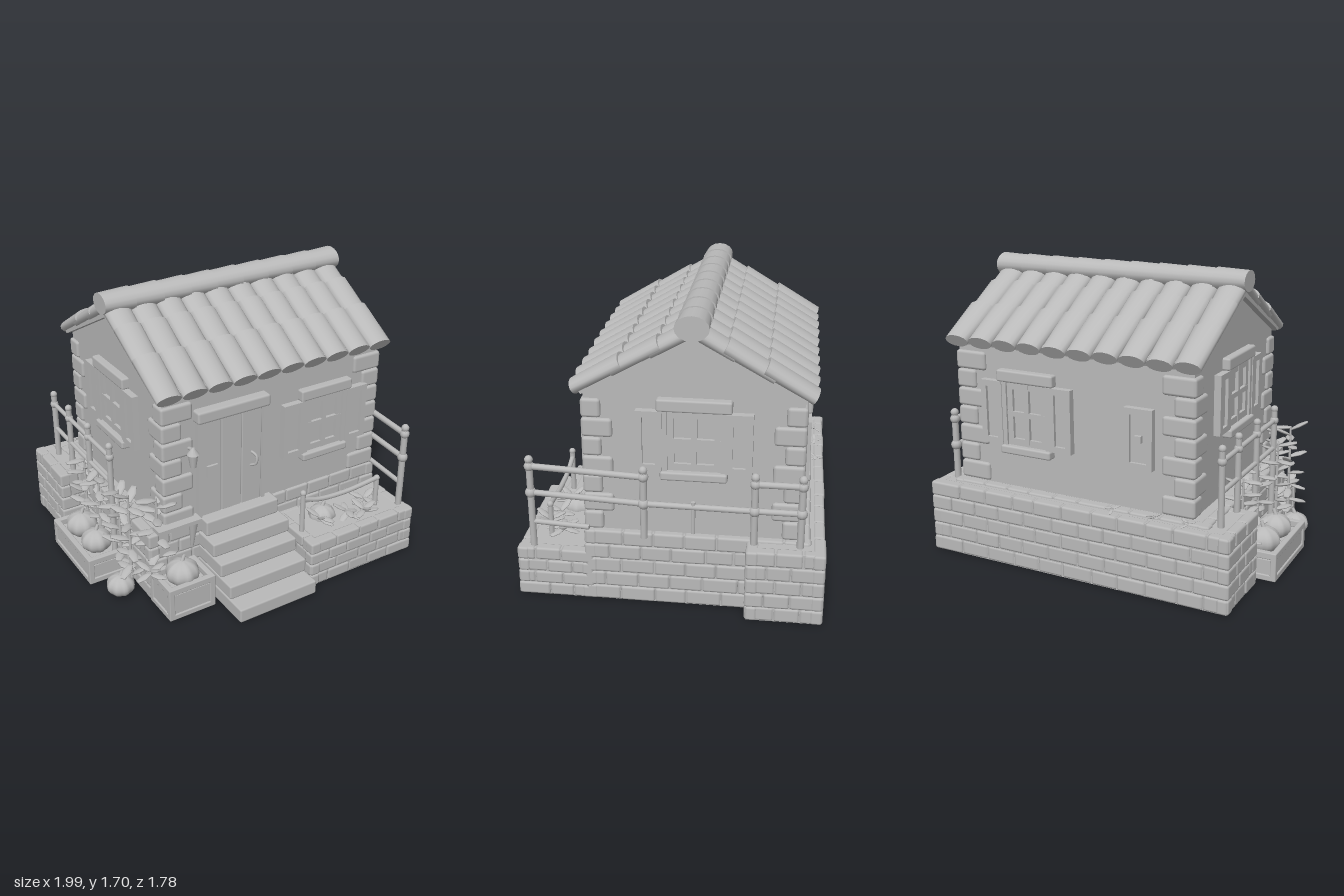
import * as THREE from 'three';
import { RoundedBoxGeometry } from 'three/addons/geometries/RoundedBoxGeometry.js';

export function createModel() {
  const root = new THREE.Group();
  root.name = 'cottage';
  const clay = new THREE.MeshStandardMaterial({ color: 0xb9b9b9 });
  clay.name = 'clay grey';

  let seed = 7;
  const rnd = () => (seed = (seed * 16807) % 2147483647) / 2147483647;
  const V = (x, y, z) => new THREE.Vector3(x, y, z);

  const group = (name, parent = root) => {
    const g = new THREE.Group();
    g.name = name;
    parent.add(g);
    return g;
  };
  const add = (parent, name, geo) => {
    const m = new THREE.Mesh(geo, clay);
    m.name = name;
    parent.add(m);
    return m;
  };
  // Box between two corners, softened when r > 0
  const box = (parent, name, x0, x1, y0, y1, z0, z1, r = 0) => {
    const s = [x1 - x0, y1 - y0, z1 - z0];
    const m = add(parent, name, r ? new RoundedBoxGeometry(...s, 1, Math.min(r, ...s.map(v => v * 0.45))) : new THREE.BoxGeometry(...s));
    m.position.set((x0 + x1) / 2, (y0 + y1) / 2, (z0 + z1) / 2);
    return m;
  };
  const rod = (parent, name, a, b, r, r2 = r) => {
    const d = b.clone().sub(a);
    const m = add(parent, name, new THREE.CylinderGeometry(r2, r, d.length(), 10));
    m.position.copy(a).add(b).multiplyScalar(0.5);
    m.quaternion.setFromUnitVectors(V(0, 1, 0), d.normalize());
    return m;
  };
  const ball = (parent, name, p, r) => {
    const m = add(parent, name, new THREE.SphereGeometry(r, 10, 8));
    m.position.copy(p);
    return m;
  };

  // Stone plinth: a core faced with staggered rounded blocks on all four sides
  const plinth = (name, x0, x1, z0, z1, h, rows) => {
    const g = group(name);
    const t = 0.012;
    box(g, 'core', x0 + t, x1 - t, 0, h - 0.004, z0 + t, z1 - t);
    const rh = h / rows;
    const course = (a0, a1, row, put) => {
      const n = Math.max(1, Math.round((a1 - a0) / 0.17));
      const w = (a1 - a0) / n;
      let a = a0;
      for (let i = 0; i < n; i++) {
        const b = i === n - 1 ? a1 : a0 + w * (i + 1 + (row % 2 ? 0.28 : -0.2) + (rnd() - 0.5) * 0.2);
        put(a, b, row * rh, (row + 1) * rh, rnd() * 0.008);
        a = b;
      }
    };
    for (let row = 0; row < rows; row++) {
      course(x0, x1, row, (a, b, y0, y1, j) => box(g, 'stone', a, b, y0, y1, z1 - 0.07, z1 - j, 0.014));
      course(x0, x1, row, (a, b, y0, y1, j) => box(g, 'stone', a, b, y0, y1, z0 + j, z0 + 0.07, 0.014));
      course(z0, z1, row, (a, b, y0, y1, j) => box(g, 'stone', x1 - 0.07, x1 - j, y0, y1, a, b, 0.014));
      course(z0, z1, row, (a, b, y0, y1, j) => box(g, 'stone', x0 + j, x0 + 0.07, y0, y1, a, b, 0.014));
    }
  };
  plinth('mainBase', -0.76, 0.88, -0.8, 0.45, 0.44, 5);
  plinth('backBase', -0.91, 0.99, -0.88, -0.45, 0.43, 5);
  plinth('frontTerrace', 0.1, 0.88, 0.4, 0.84, 0.3, 4);

  // Front steps
  const steps = group('steps');
  [0.9, 0.79, 0.69, 0.61, 0.52].forEach((z, i) =>
    box(steps, 'step', -0.43 + (i > 3 ? 0.01 : 0), 0.1 - (i > 3 ? 0.02 : 0), i * 0.09, (i + 1) * 0.09 + (i > 3 ? 0.01 : 0), 0.4, z, 0.012));

  // Walls with gables
  const X0 = -0.64, X1 = 0.84, Z0 = -0.73, Z1 = 0.43, RZ = -0.15;
  const gable = new THREE.Shape([[-Z1, 0.3], [-Z0, 0.3], [-Z0, 1.25], [-RZ, 1.55], [-Z1, 1.25]].map(p => new THREE.Vector2(...p)));
  const walls = add(root, 'walls', new THREE.ExtrudeGeometry(gable, { depth: X1 - X0, bevelEnabled: false }));
  walls.rotation.y = Math.PI / 2;
  walls.position.x = X0;

  // Corner quoins, alternating long and short
  const quoins = group('quoins');
  for (const sx of [-1, 1]) for (const sz of [-1, 1]) for (let i = 0; i < 7; i++) {
    const lx = i % 2 ? 0.13 : 0.2, lz = i % 2 ? 0.17 : 0.11;
    const x = sx < 0 ? X0 - 0.018 : X1 + 0.018, z = sz < 0 ? Z0 - 0.018 : Z1 + 0.018;
    const y = 0.44 + i * 0.111;
    box(quoins, 'quoin', Math.min(x, x - sx * lx), Math.max(x, x - sx * lx), y, y + 0.109,
      Math.min(z, z - sz * lz), Math.max(z, z - sz * lz), 0.018);
  }

  // Roof: decks, three courses of barrel tiles per slope, ridge caps
  const roof = group('roof');
  const RX0 = -0.7, RX1 = 0.9, cols = 10, cw = (RX1 - RX0) / cols, slope = 0.475;
  for (const s of [1, -1]) {
    const side = group(s > 0 ? 'frontSlope' : 'backSlope', roof);
    side.position.set(0, 1.6, RZ);
    side.rotation.y = s > 0 ? 0 : Math.PI;
    const pitch = group('pitch', side);
    pitch.rotation.x = slope;
    const off = s > 0 ? 0 : -(RX0 + RX1);
    box(pitch, 'deck', RX0 + off + 0.02, RX1 + off - 0.02, -0.045, 0.0, 0, 0.68);
    for (let row = 0; row < 3; row++) for (let c = 0; c < cols; c++) {
      const geo = new THREE.CylinderGeometry(cw * 0.46, cw * 0.535, 0.3, 14);
      geo.rotateX(Math.PI / 2).scale(1, 0.55, 1).rotateY(Math.PI);
      geo.rotateY(Math.PI);
      const tile = add(pitch, 'roofTile', geo);
      tile.position.set(RX0 + off + (c + 0.5) * cw, 0.006 + (rnd() - 0.5) * 0.006, 0.1 + row * 0.23);
      tile.rotation.x = 0.05;
      // widen the lower end of each tile
      tile.scale.z = 1;
      const p = geo.attributes.position;
      for (let i = 0; i < p.count; i++) {
        const k = p.getZ(i) > 0 ? 1.04 : 0.98;
        p.setX(i, p.getX(i) * k);
        p.setY(i, p.getY(i) * k);
      }
      geo.computeVertexNormals();
    }
  }
  for (let i = 0; i < 9; i++) {
    const w = (RX1 - RX0) / 9;
    const geo = new THREE.CylinderGeometry(0.082, 0.091, w + 0.012, 16);
    geo.rotateZ(Math.PI / 2).scale(1, 0.74, 1);
    add(roof, 'ridgeCap', geo).position.set(RX0 + (i + 0.5) * w, 1.635, RZ);
  }

  // Window facing +z, centred on its own origin
  const shutter = (g, x0, x1, h) => {
    box(g, 'shutter', x0, x1, -h, h, -0.01, 0.022);
    const b = 0.035;
    box(g, 'shutterStile', x0, x0 + b, -h, h, 0.02, 0.04);
    box(g, 'shutterStile', x1 - b, x1, -h, h, 0.02, 0.04);
    box(g, 'shutterRail', x0 + b, x1 - b, h - b, h, 0.02, 0.04);
    box(g, 'shutterRail', x0 + b, x1 - b, -h, b - h, 0.02, 0.04);
  };
  const makeWindow = (name, x, y, z, turn, w, h, sw) => {
    const g = group(name);
    g.position.set(x, y, z);
    g.rotation.y = turn;
    box(g, 'glass', -w, w, -h, h, -0.02, 0.004);
    for (const s of [-1, 1]) {
      box(g, 'frameSide', s * w - 0.018, s * w + 0.018, -h, h, -0.01, 0.035);
      box(g, 'sashSide', s * (w - 0.035) - 0.018, s * (w - 0.035) + 0.018, -h, h, -0.01, 0.022);
      box(g, 'sashRail', -w, w, s * (h - 0.02) - 0.02, s * (h - 0.02) + 0.02, -0.01, 0.022);
      shutter(g, s < 0 ? -w - sw - 0.01 : w + 0.01, s < 0 ? -w - 0.01 : w + sw + 0.01, h);
    }
    box(g, 'mullion', -0.015, 0.015, -h, h, -0.01, 0.024);
    box(g, 'crossbar', -w, w, -0.015, 0.015, -0.01, 0.024);
    box(g, 'lintel', -w - 0.04, w + 0.04, h, h + 0.07, -0.02, 0.045, 0.012);
    box(g, 'sill', -w - 0.02, w + 0.02, -h - 0.05, -h, -0.02, 0.055, 0.012);
  };
  makeWindow('frontWindow', 0.445, 0.855, Z1, 0, 0.145, 0.175, 0.15);
  makeWindow('rightWindow', X1, 1.0, -0.16, Math.PI / 2, 0.16, 0.17, 0.14);
  makeWindow('leftWindow', X0, 1.0, -0.16, -Math.PI / 2, 0.16, 0.17, 0.14);
  makeWindow('backWindow', 0.38, 0.88, Z0, Math.PI, 0.145, 0.185, 0.14);

  // Small shuttered hatch in the back wall
  const hatch = group('backHatch');
  hatch.position.set(-0.33, 0.85, Z0);
  hatch.rotation.y = Math.PI;
  shutter(hatch, -0.085, 0.085, 0.17);
  box(hatch, 'hatchLatch', -0.02, 0.02, -0.02, 0.02, 0.02, 0.045);

  // Plank door, lintel and ironwork
  const door = group('door');
  for (let i = 0; i < 3; i++) box(door, 'plank', -0.41 + i * 0.137, -0.276 + i * 0.137, 0.455, 1.07, 0.41, 0.445, 0.006);
  box(door, 'doorJamb', -0.435, -0.41, 0.455, 1.08, 0.41, 0.455);
  box(door, 'doorJamb', 0, 0.02, 0.455, 1.08, 0.41, 0.455);
  box(door, 'doorLintel', -0.45, 0.03, 1.08, 1.155, 0.4, 0.49, 0.015);
  box(door, 'lockPlate', -0.375, -0.305, 0.715, 0.785, 0.44, 0.46);
  add(door, 'handle', new THREE.TubeGeometry(new THREE.CatmullRomCurve3(
    [V(-0.075, 0.7, 0.44), V(-0.06, 0.72, 0.475), V(-0.055, 0.77, 0.475), V(-0.07, 0.79, 0.44)]), 10, 0.009, 6));

  // Wall lantern beside the door
  const lamp = group('lantern');
  rod(lamp, 'bracket', V(-0.49, 0.93, 0.42), V(-0.49, 0.95, 0.5), 0.01);
  rod(lamp, 'lampBody', V(-0.49, 0.84, 0.495), V(-0.49, 0.92, 0.495), 0.018, 0.03);
  rod(lamp, 'lampCap', V(-0.49, 0.92, 0.495), V(-0.49, 0.96, 0.495), 0.036, 0.008);

  // Railings: capped posts, rails with knuckles
  const post = (g, x, y0, y1, z, r = 0.018) => {
    rod(g, 'post', V(x, y0, z), V(x, y1, z), r);
    ball(g, 'postCap', V(x, y1, z), r * 1.2);
  };
  const rightRail = group('rightRailing');
  const railX = [[0.83, 0.75], [0.885, 0.11], [0.895, -0.49], [0.895, -0.74]];
  railX.forEach(([x, z], i) => {
    post(rightRail, x, i ? 0.42 : 0.28, 0.83, z, 0.02);
    ball(rightRail, 'knuckle', V(x, 0.63, z), 0.032);
    ball(rightRail, 'knuckle', V(x, 0.79, z), 0.029);
    if (!i) return;
    const [px, pz] = railX[i - 1];
    rod(rightRail, 'midRail', V(px, 0.63, pz), V(x, 0.63, z), 0.017);
    if (i !== 2) rod(rightRail, 'topRail', V(px, 0.79, pz), V(x, 0.79, z), 0.018);
  });
  rod(rightRail, 'lowRail', V(0.83, 0.45, 0.75), V(0.86, 0.45, 0.42), 0.015);
  rod(rightRail, 'shortPost', V(0.89, 0.47, -0.16), V(0.89, 0.66, -0.16), 0.012);

  const leftRail = group('leftRailing');
  [-0.73, -0.5, -0.22, 0.07].forEach((z, i, a) => {
    post(leftRail, -0.8, i === 3 ? 0.1 : 0.4, 0.86, z);
    ball(leftRail, 'knuckle', V(-0.8, 0.79, z), 0.026);
    if (i) for (const y of [0.62, 0.79]) rod(leftRail, 'rail', V(-0.8, y, a[i - 1]), V(-0.8, y, z), 0.014);
  });

  const fence = group('terraceFence');
  post(fence, 0.14, 0.28, 0.56, 0.68, 0.016);
  post(fence, 0.7, 0.28, 0.49, 0.68, 0.016);
  add(fence, 'saggingRail', new THREE.TubeGeometry(new THREE.CatmullRomCurve3(
    [V(0.14, 0.52, 0.68), V(0.25, 0.485, 0.68), V(0.45, 0.47, 0.68), V(0.7, 0.49, 0.68)]), 16, 0.015, 8));

  // Shelf left of the steps
  box(root, 'shelf', -0.72, -0.44, 0.46, 0.485, 0.42, 0.5);
  rod(root, 'shelfBracket', V(-0.48, 0.28, 0.45), V(-0.48, 0.47, 0.47), 0.008, 0.03);

  // Planter crates filled with soil
  const planter = (name, x0, x1, z0, z1, h) => {
    const g = group(name), t = 0.035;
    box(g, 'soil', x0 + 0.01, x1 - 0.01, 0, h - 0.05, z0 + 0.01, z1 - 0.01);
    for (const z of [z0, z1 - t]) {
      box(g, 'rim', x0, x1, h - 0.04, h, z, z + t, 0.006);
      box(g, 'foot', x0, x1, 0, 0.035, z, z + t, 0.006);
      for (const x of [x0, x1 - t]) box(g, 'cornerPost', x, x + t, 0, h, z, z + t, 0.006);
    }
    for (const x of [x0, x1 - t]) {
      box(g, 'rim', x, x + t, h - 0.04, h, z0, z1, 0.006);
      box(g, 'foot', x, x + t, 0, 0.035, z0, z1, 0.006);
    }
  };
  planter('sidePlanter', -1, -0.74, -0.4, 0.13, 0.17);
  planter('frontPlanter', -0.76, -0.46, 0.44, 0.68, 0.21);

  // Ribbed pumpkins
  const pumpkin = (x, y, z, r) => {
    const g = group('pumpkin');
    const geo = new THREE.SphereGeometry(r, 32, 12);
    const p = geo.attributes.position;
    for (let i = 0; i < p.count; i++) {
      const k = 0.9 + 0.1 * Math.abs(Math.cos(4 * Math.atan2(p.getZ(i), p.getX(i))));
      p.setXYZ(i, p.getX(i) * k, p.getY(i) * 0.78, p.getZ(i) * k);
    }
    geo.computeVertexNormals();
    add(g, 'pumpkinBody', geo).position.set(x, y, z);
    rod(g, 'pumpkinStem', V(x, y + r * 0.7, z), V(x + 0.015, y + r * 1.1, z), 0.013, 0.009);
  };
  [[-0.87, 0.18, -0.25, 0.1], [-0.87, 0.18, -0.04, 0.095], [-0.61, 0.22, 0.56, 0.1],
    [0.35, 0.3, 0.6, 0.085], [-0.88, 0.07, 0.3, 0.085]].forEach(a => pumpkin(...a));

  // Leafy sprigs
  const sprig = (x, y, z, h, n, len) => {
    const g = group('plant');
    if (h > 0.06) rod(g, 'stem', V(x, y, z), V(x, y + h, z), 0.01, 0.006);
    for (let i = 0; i < n; i++) {
      const a = i * 2.4 + rnd(), k = (i + 0.5) / n;
      const geo = new THREE.SphereGeometry(1, 6, 5);
      geo.scale(len * 0.24, len * 0.08, len * 0.55).translate(0, 0, len * 0.5);
      const leaf = add(g, 'leaf', geo);
      leaf.position.set(x, y + h * k, z);
      leaf.rotation.set((rnd() - 0.6) * 0.9, a, 0, 'YXZ');
    }
  };
  for (const [x, z, h] of [[-0.82, 0.33, 0.56], [-0.8, 0.16, 0.5], [-0.79, -0.14, 0.5], [-0.78, -0.36, 0.45]])
    sprig(x, 0.12, z, h, 16, 0.12);
  sprig(-0.68, 0.25, 0.4, 0.4, 16, 0.13);
  sprig(-0.78, 0.22, 0.5, 0.04, 6, 0.1);
  for (const [x, z] of [[0.3, 0.65], [0.48, 0.68], [0.58, 0.72], [0.66, 0.62]]) sprig(x, 0.31, z, 0.02, 6, 0.1);
  for (const x of [-0.65, -0.45, -0.2]) sprig(x, 0.44, -0.82, 0.02, 4, 0.05);
  return root;
}
